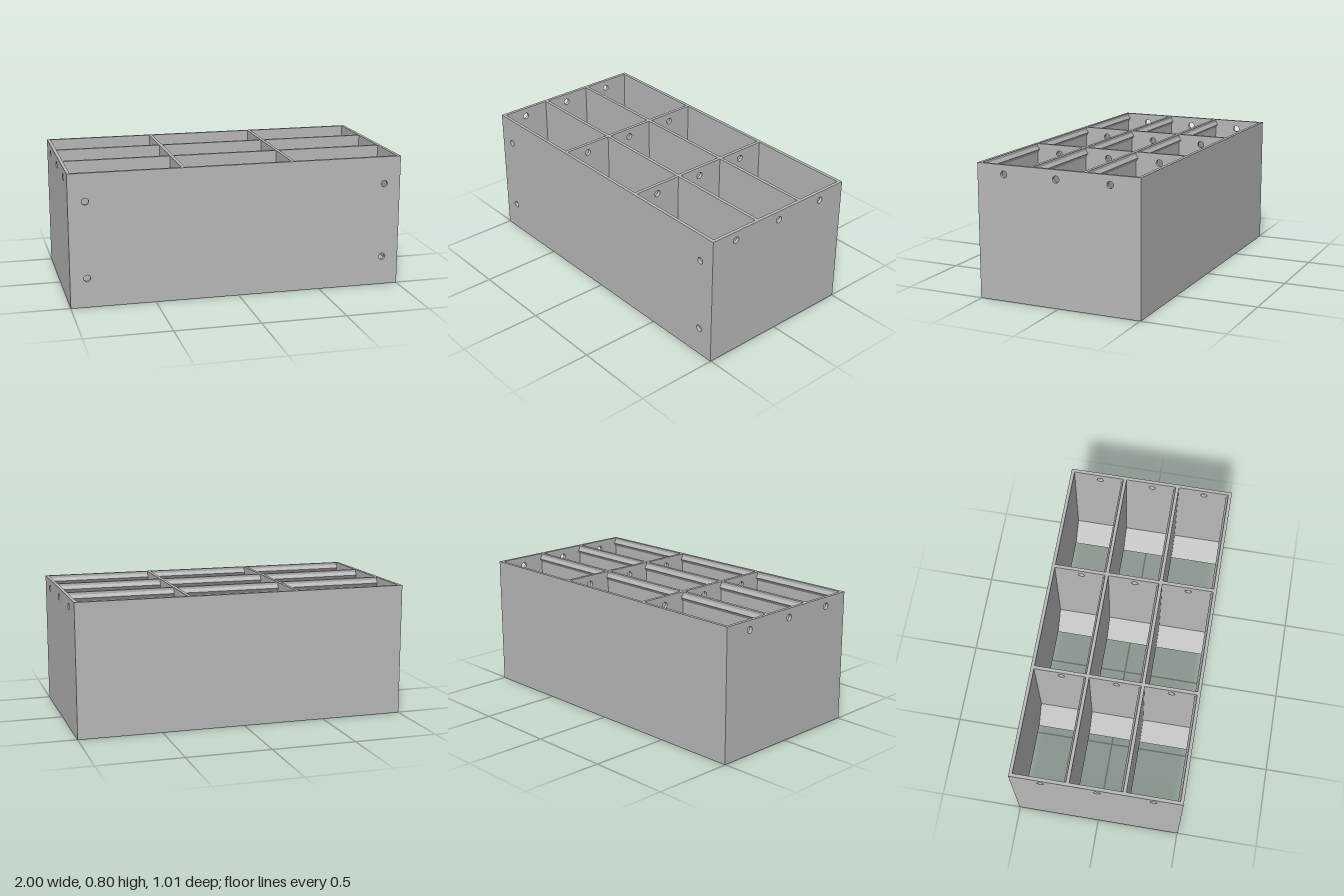
import * as THREE from 'three';

const H = 0.795, HALF_Z = 0.505, T = 0.02; // height, half depth, wall thickness
const INNER_X = 1 - T, INNER_Z = HALF_Z - T;
const RAMP = 0.115;

function polygon(points) {
  return new THREE.Shape(points.map(([a, b]) => new THREE.Vector2(a, b)));
}

// Upright rectangle with round holes given as [horizontal, y]
function panel(half, holes) {
  const shape = polygon([[-half, 0], [half, 0], [half, H], [-half, H]]);
  for (const [a, b] of holes) {
    shape.holes.push(new THREE.Path().absarc(a, b, 0.02, 0, Math.PI * 2, true));
  }
  return shape;
}

function extrude(shape, depth) {
  const g = new THREE.ExtrudeGeometry(shape, { depth, bevelEnabled: false, curveSegments: 16 });
  return g.translate(0, 0, -depth / 2);
}

// Shape drawn in (z, y), extruded along x
const extrudeX = (shape, depth) => extrude(shape, depth).rotateY(-Math.PI / 2);

export function createModel() {
  const group = new THREE.Group();
  const grey = new THREE.MeshStandardMaterial({ name: 'grey', color: 0xb8b8b8 });

  function add(name, geometry, x = 0, y = 0, z = 0) {
    const mesh = new THREE.Mesh(geometry, grey);
    mesh.name = name;
    mesh.position.set(x, y, z);
    group.add(mesh);
  }

  // Front wall with four mounting holes, plain back wall
  const mounts = [];
  for (const x of [-0.9, 0.9]) for (const y of [0.175, 0.63]) mounts.push([x, y]);
  add('frontWall', extrude(panel(1, mounts), T), 0, 0, HALF_Z - T / 2);
  add('backWall', extrude(panel(1, []), T), 0, 0, -HALF_Z + T / 2);

  // Side walls and cross dividers, each with three aligned holes
  const cross = extrudeX(panel(INNER_Z, [[0.335, 0.74], [0.007, 0.74], [-0.323, 0.74]]), T);
  for (const x of [-0.99, -0.33, 0.33, 0.99]) {
    add(Math.abs(x) > 0.5 ? 'sideWall' : 'crossDivider', cross, x);
  }

  // Long dividers between the rows
  const long = new THREE.BoxGeometry(2 * INNER_X, H, T);
  for (const z of [-0.165, 0.165]) add('longDivider', long, 0, H / 2, z);

  // Sloped floors on both sides of every column, leaving the middle open
  const leftRamp = extrude(polygon([[0, 0], [RAMP, 0], [0, RAMP]]), 2 * INNER_Z);
  const rightRamp = extrude(polygon([[0, 0], [0, RAMP], [-RAMP, 0]]), 2 * INNER_Z);
  for (const c of [-0.66, 0, 0.66]) {
    add('floorRamp', leftRamp, c - 0.32);
    add('floorRamp', rightRamp, c + 0.32);
  }

  // Triangular catch ridge near the top, on the front side of each row
  const ridge = extrudeX(polygon([[0, -0.02], [0, 0.02], [-0.013, 0]]), 2 * INNER_X);
  for (const z of [-0.175, 0.155, INNER_Z]) add('catchRidge', ridge, 0, 0.76, z);

  return group;
}
